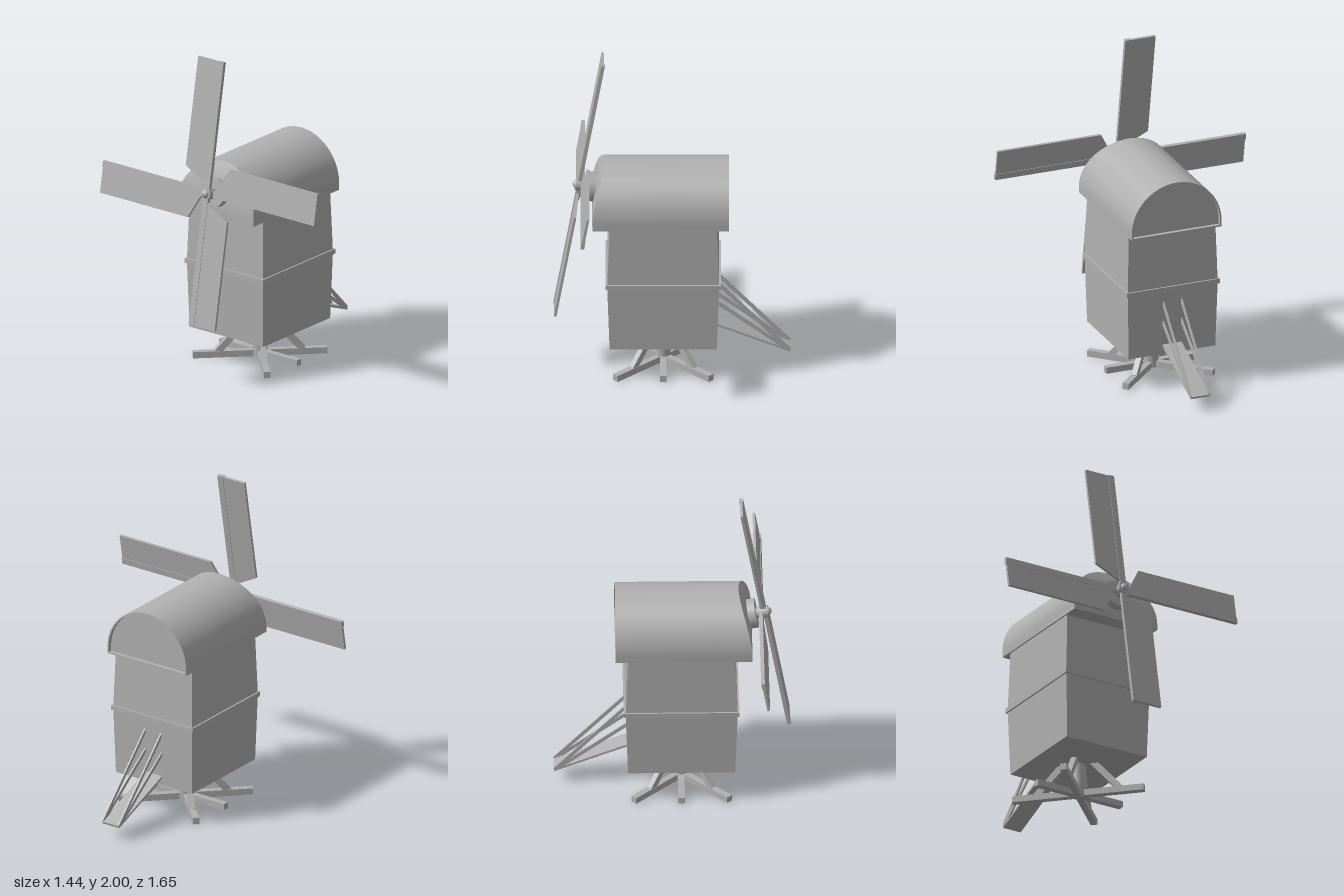
import * as THREE from 'three';
import { toCreasedNormals } from 'three/addons/utils/BufferGeometryUtils.js';

const grey = new THREE.MeshStandardMaterial({ color: 0xb0b0b0 });
grey.name = 'grey';

function add(parent, name, geometry, x = 0, y = 0, z = 0) {
  const mesh = new THREE.Mesh(geometry, grey);
  mesh.name = name;
  mesh.position.set(x, y, z);
  parent.add(mesh);
  return mesh;
}

// Square-cut timber running from p to q
function beam(parent, name, p, q, width, height) {
  const a = new THREE.Vector3(...p), b = new THREE.Vector3(...q);
  const mesh = add(parent, name, new THREE.BoxGeometry(width, height, a.distanceTo(b)));
  mesh.position.copy(a).add(b).multiplyScalar(0.5);
  mesh.lookAt(b);
  return mesh;
}

// Move every vertex by a rule
function warp(geometry, rule) {
  const pos = geometry.attributes.position;
  const v = new THREE.Vector3();
  for (let i = 0; i < pos.count; i++) {
    rule(v.fromBufferAttribute(pos, i));
    pos.setXYZ(i, v.x, v.y, v.z);
  }
  return geometry;
}

const CX = -0.06;                            // centre of the body and post
const EAVE = 1.02, SPRING = 1.06, R = 0.295; // roof arch
const BACK = 0.34;
const frontX = (y) => -0.49 + 0.08 * ((y - EAVE) / 0.335) ** 2;

function archPath(PathClass, inset) {
  const r = R - inset;
  const path = new PathClass();
  path.moveTo(-r, EAVE + inset);
  path.lineTo(r, EAVE + inset);
  path.absarc(0, SPRING, r, 0, Math.PI, false);
  path.closePath();
  return path;
}

// Upright wall filling the arch, facing +x (side = 1) or -x (side = -1)
function archWall(xAt, side) {
  const g = new THREE.PlaneGeometry(2, 1, 1, 32);
  g.rotateY(side * Math.PI / 2);
  warp(g, (v) => {
    const t = 1 - (0.5 - v.y) ** 2;          // finer rows near the crown
    v.y = EAVE + t * (SPRING + R - EAVE);
    const h = Math.max(0, v.y - SPRING);
    v.z = Math.sign(v.z) * Math.sqrt(Math.max(0, R * R - h * h));
    v.x = xAt(v.y);
  });
  return toCreasedNormals(g, 0.6);
}

function buildRoof() {
  const roof = new THREE.Group();
  roof.name = 'roof';
  const shape = archPath(THREE.Shape, 0);
  shape.holes.push(archPath(THREE.Path, 0.01));
  const shell = new THREE.ExtrudeGeometry(shape, { depth: 1, bevelEnabled: false, curveSegments: 40 });
  shell.rotateY(Math.PI / 2);
  warp(shell, (v) => { v.x = v.x < 0.5 ? frontX(v.y) : BACK; });
  add(roof, 'roofShell', toCreasedNormals(shell, 0.5));
  add(roof, 'roofFrontWall', archWall((y) => frontX(y) - 0.001, -1));
  const back = archWall(() => BACK - 0.025, 1);
  back.translate(0, -EAVE, 0).scale(1, 0.98, 0.98).translate(0, EAVE + 0.003, 0);
  add(roof, 'roofBackWall', back);
  return roof;
}

function buildBody() {
  const body = new THREE.Group();
  body.name = 'body';
  // Box that swells slightly at the waist
  const g = warp(new THREE.BoxGeometry(0.65, 2, 0.57, 1, 2, 1), (v) => {
    if (Math.abs(v.y) < 0.1) { v.x *= 1.045; v.z *= 1.035; }
    v.y = v.y < -0.5 ? 0.21 : v.y > 0.5 ? 1.025 : 0.64;
  });
  add(body, 'bodyWalls', toCreasedNormals(g, 0.01), CX);
  add(body, 'waistBand', new THREE.BoxGeometry(0.70, 0.03, 0.61), CX, 0.64, 0);
  return body;
}

function buildTrestle() {
  const base = new THREE.Group();
  base.name = 'trestle';
  add(base, 'post', new THREE.CylinderGeometry(0.045, 0.045, 0.21, 32), CX, 0.108, 0);
  beam(base, 'straightFootBeam', [CX, 0.02, -0.303], [CX, 0.02, 0.303], 0.04, 0.039);
  for (const s of [1, -1]) {
    const e = 0.29;
    beam(base, 'diagonalFootBeam', [CX - e, 0.02, -s * e], [CX + e, 0.02, s * e], 0.04, 0.04);
  }
  // Slanting struts above the diagonal beams
  for (const sx of [1, -1]) for (const sz of [1, -1]) {
    beam(base, 'strut', [CX + sx * 0.185, 0.03, sz * 0.185], [CX + sx * 0.065, 0.22, sz * 0.065], 0.035, 0.04);
  }
  return base;
}

function buildTail() {
  const tail = new THREE.Group();
  tail.name = 'tailLadder';
  beam(tail, 'ladderPlate', [0.25, 0.272, 0], [0.71, 0.09, 0], 0.125, 0.014);
  for (const z of [0.06, -0.06]) {
    beam(tail, 'middleStay', [0.255, 0.428, z], [0.70, 0.098, z], 0.009, 0.022);
    beam(tail, 'upperStay', [0.255, 0.565, z], [0.705, 0.098, z], 0.009, 0.022);
  }
  return tail;
}

function buildSails() {
  const sails = new THREE.Group();
  sails.name = 'sails';
  sails.position.set(-0.57, 1.19, 0);
  sails.rotation.z = -THREE.MathUtils.degToRad(10.15);

  // Windshaft, collar and hub along the tilted axis
  const turned = (name, r, from, to) => {
    add(sails, name, new THREE.CylinderGeometry(r, r, to - from, 32), (from + to) / 2).rotation.z = Math.PI / 2;
  };
  turned('windshaft', 0.03, -0.015, 0.19);
  turned('shaftCollar', 0.09, 0.053, 0.1);
  turned('hub', 0.037, -0.02, 0.04);
  add(sails, 'hubCap', new THREE.SphereGeometry(0.028, 24, 16), -0.012);

  // Sail cloth beside its spar, with a slanted inner end
  const shape = new THREE.Shape();
  shape.moveTo(0.015, 0.05);
  shape.lineTo(0.18, 0.14);
  shape.lineTo(0.18, 0.82);
  shape.lineTo(0.015, 0.82);
  shape.closePath();
  const cloth = new THREE.ExtrudeGeometry(shape, { depth: 0.016, bevelEnabled: false });
  cloth.translate(0, 0, -0.008).rotateY(Math.PI / 2);
  const spar = new THREE.BoxGeometry(0.023, 0.823, 0.04);

  for (let k = 0; k < 4; k++) {
    const arm = new THREE.Group();
    arm.name = 'sailArm';
    arm.position.x = (k % 2) * 0.023;        // crossing spars lie one behind the other
    arm.rotation.x = k * Math.PI / 2;
    add(arm, 'spar', spar, 0, 0.4115, 0);
    add(arm, 'sail', cloth);
    sails.add(arm);
  }
  return sails;
}

export function createModel() {
  const model = new THREE.Group();
  model.name = 'postMill';
  model.add(buildTrestle(), buildBody(), buildRoof(), buildTail(), buildSails());
  return model;
}
